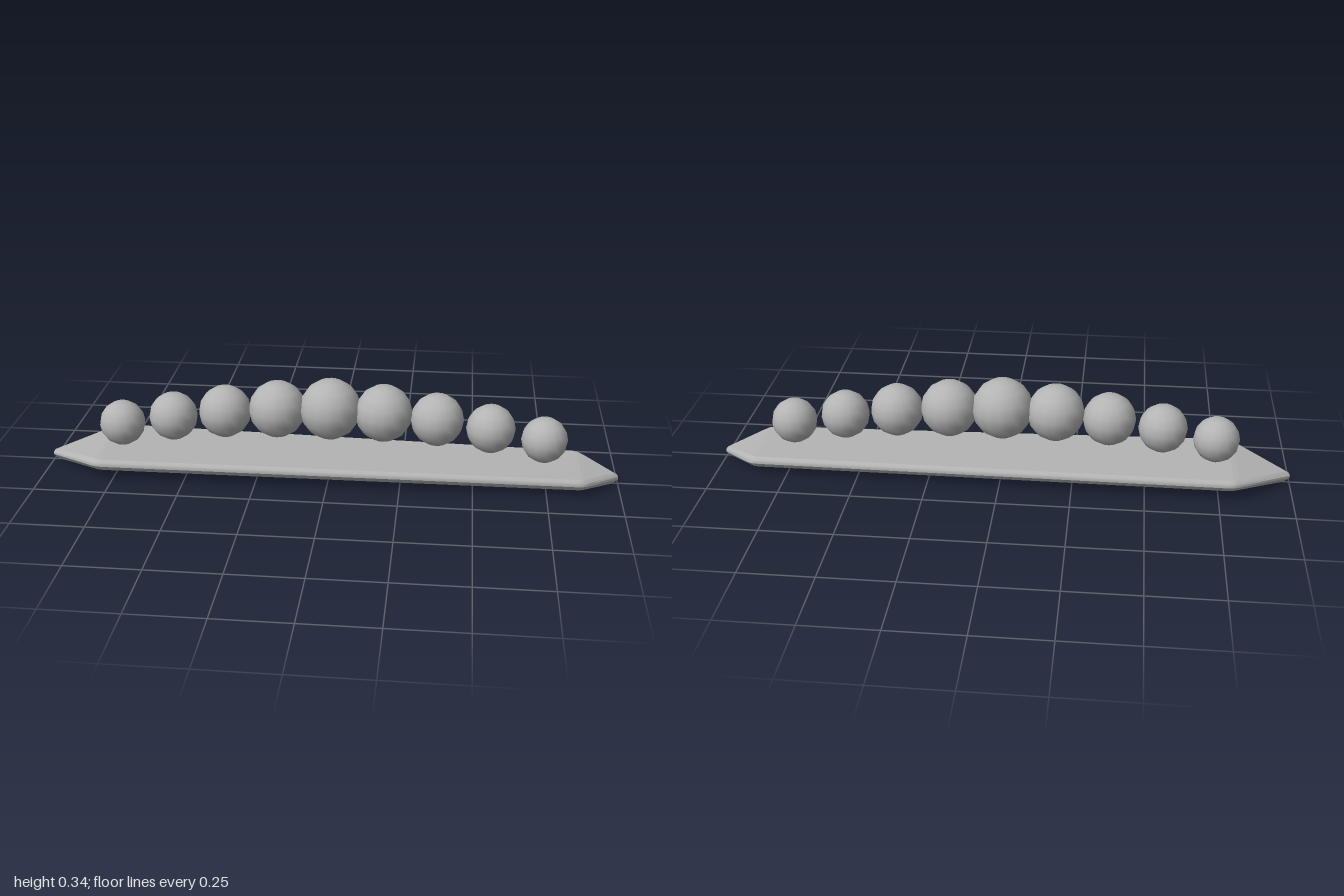
import * as THREE from 'three';
import { toCreasedNormals } from 'three/addons/utils/BufferGeometryUtils.js';

// Tray outline: x, half width, top height and x shift per unit of inset
const stations = [
  [-1, 0.008, 0.045, 1.3], [-0.82, 0.155, 0.078, 0.6], [-0.8, 0.166, 0.08, 0.4], [-0.78, 0.168, 0.08, 0.1],
  [0.85, 0.132, 0.066, -0.1], [0.872, 0.128, 0.065, -0.4], [0.892, 0.113, 0.062, -0.6], [1, 0.008, 0.042, -1.3],
];
// Edge profile of the rim: inset, drop below the top
const layers = [[0.014, 0], [0.003, 0.007], [0, 0.013], [0, 0.021], [0.014, 0.039]];
const loop = 2 * stations.length;

// Closed loop around the tray at one layer of the edge profile
function outline([inset, drop]) {
  const row = stations.map(([x, w, y, shift]) =>
    [x + shift * inset, y - drop, Math.max(w - inset, 0.004)]);
  return [...row, ...row.map(([x, y, z]) => [x, y, -z]).reverse()].flat();
}

function surface(positions, index, crease) {
  const geometry = new THREE.BufferGeometry();
  geometry.setAttribute('position', new THREE.Float32BufferAttribute(positions, 3));
  geometry.setIndex(index);
  return toCreasedNormals(geometry, crease);
}

// Bevelled rim, open underneath
function rimGeometry() {
  const index = [];
  for (let k = 0; k < layers.length - 1; k++) {
    for (let i = 0; i < loop; i++) {
      const a = k * loop + i, b = k * loop + (i + 1) % loop;
      index.push(a + loop, b + loop, b, a + loop, b, a);
    }
  }
  return surface(layers.flatMap(outline), index, 0.6);
}

// Thin top sheet, joined across the width and bent down at both ends
function panelGeometry() {
  const index = [];
  for (let i = 0; i < stations.length - 1; i++) {
    index.push(i, i + 1, loop - 2 - i, i, loop - 2 - i, loop - 1 - i);
  }
  return surface(outline(layers[0]), index, 0.05);
}

export function createModel() {
  const model = new THREE.Group();
  model.name = 'ballsOnTray';
  const grey = new THREE.MeshStandardMaterial({ color: 0xb4b4b4, side: THREE.DoubleSide });
  grey.name = 'grey';

  const add = (name, geometry) => {
    const mesh = new THREE.Mesh(geometry, grey);
    mesh.name = name;
    model.add(mesh);
    return mesh;
  };

  add('trayRim', rimGeometry());
  add('trayPanel', panelGeometry());

  // Row of balls, shrinking and sinking from the middle outwards: x, y, radius
  const balls = [
    [0, 0.241, 0.107], [0.185, 0.233, 0.1], [0.37, 0.217, 0.092], [0.555, 0.191, 0.085], [0.74, 0.157, 0.08],
  ];
  balls.forEach(([x, y, r], i) => {
    const geometry = new THREE.SphereGeometry(r, 16, 8);
    for (const side of i === 0 ? [1] : [1, -1]) {
      const name = i === 0 ? 'middleBall' : `${side > 0 ? 'left' : 'right'}Ball${i}`;
      add(name, geometry).position.set(side * x, y, 0);
    }
  });
  return model;
}
